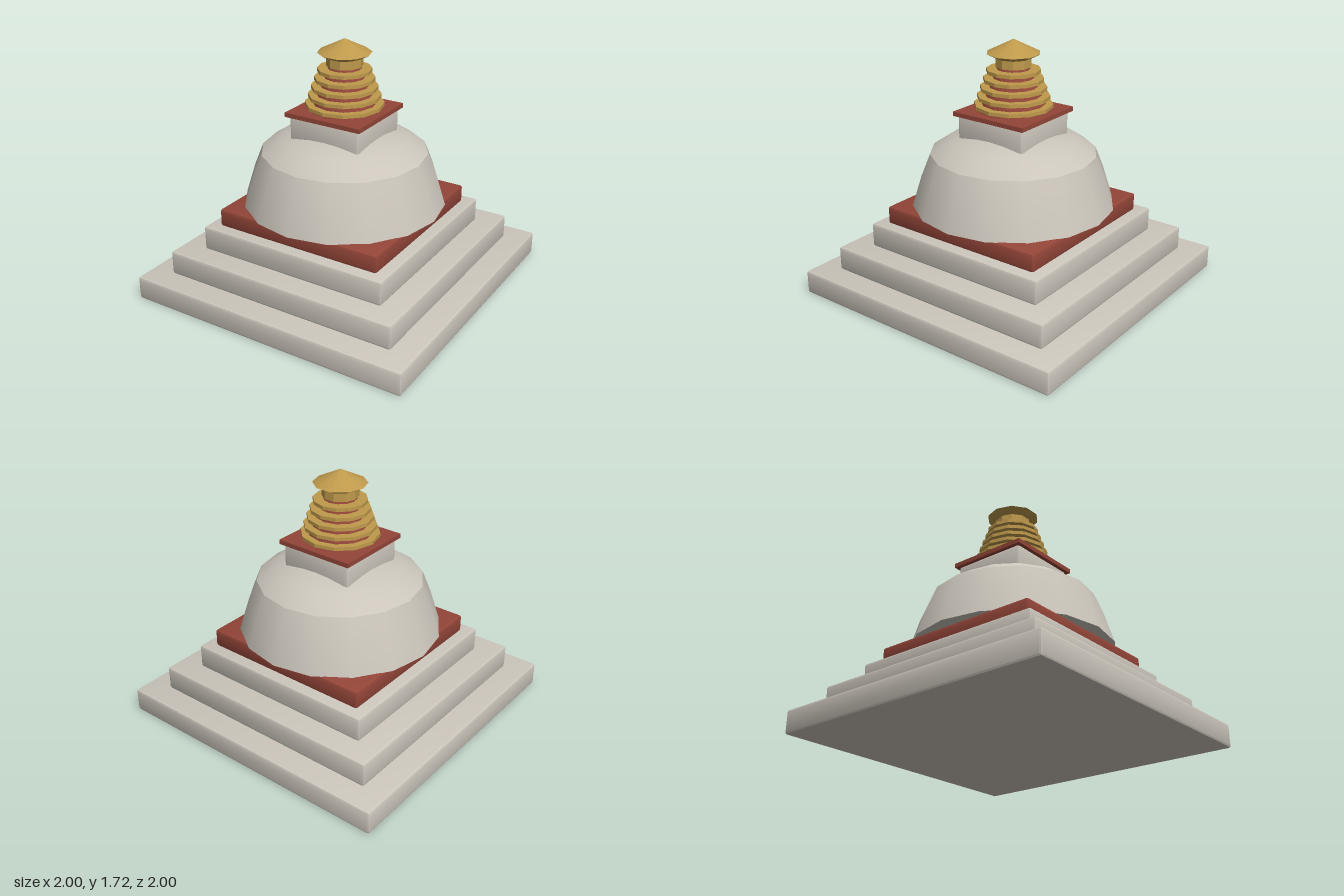
import * as THREE from 'three';
import { toCreasedNormals } from 'three/addons/utils/BufferGeometryUtils.js';
import { RoundedBoxGeometry } from 'three/addons/geometries/RoundedBoxGeometry.js';

export function createModel() {
  const model = new THREE.Group();
  const material = (name, color) => {
    const m = new THREE.MeshStandardMaterial({ color });
    m.name = name;
    return m;
  };
  const stone = material('stone', 0xcbc5bb);
  const red = material('red', 0x934538);
  const gold = material('gold', 0xbf9a4c);

  const add = (name, geometry, mat, y = 0) => {
    const mesh = new THREE.Mesh(geometry, mat);
    mesh.name = name;
    mesh.position.y = y;
    model.add(mesh);
    return mesh;
  };

  // Square block with chamfered edges
  const block = (name, half, y0, y1, mat) =>
    add(name, toCreasedNormals(new RoundedBoxGeometry(half * 2, y1 - y0, half * 2, 1, 0.015), 0.5), mat, (y0 + y1) / 2);

  // Faceted turned part from [radius, y] points, with a corner on the x axis
  const turned = (name, points, sides, mat, crease = 0.5) => {
    const profile = points.map(([r, y]) => new THREE.Vector2(r, y));
    const geometry = new THREE.LatheGeometry(profile, sides, Math.PI / 2);
    return add(name, toCreasedNormals(geometry, crease), mat);
  };

  // Stepped base
  block('lowerStep', 1.0, 0, 0.16, stone);
  block('middleStep', 0.838, 0.16, 0.325, stone);
  block('upperStep', 0.677, 0.32, 0.485, stone);
  block('redPlinth', 0.598, 0.48, 0.602, red);

  // Dome with closed underside
  turned('dome', [[0, 0.6], [0.68, 0.6], [0.615, 0.81], [0.555, 0.96], [0.42, 1.05], [0.23, 1.097], [0, 1.105]], 16, stone);

  // Square neck and its cover plate
  block('neck', 0.258, 0.98, 1.22, stone);
  add('coverPlate', new THREE.BoxGeometry(0.56, 0.03, 0.56), red, 1.232);

  // Tapering spire ringed by five discs
  turned('spire', [[0, 1.24], [0.235, 1.24], [0.1, 1.545], [0, 1.545]], 12, red);
  for (let i = 0; i < 5; i++) {
    const r = 0.26 - i * 0.0205;
    const y = 1.28 + i * 0.0573;
    turned('spireRing' + (i + 1), [[0, y - 0.012], [r, y - 0.012], [r, y + 0.012], [0, y + 0.012]], 12, gold);
  }

  // Collar and parasol cap
  turned('collar', [[0, 1.538], [0.12, 1.538], [0.12, 1.6], [0, 1.6]], 10, gold);
  turned('cap', [[0, 1.59], [0.11, 1.59], [0.178, 1.625], [0, 1.715]], 10, gold);

  return model;
}
